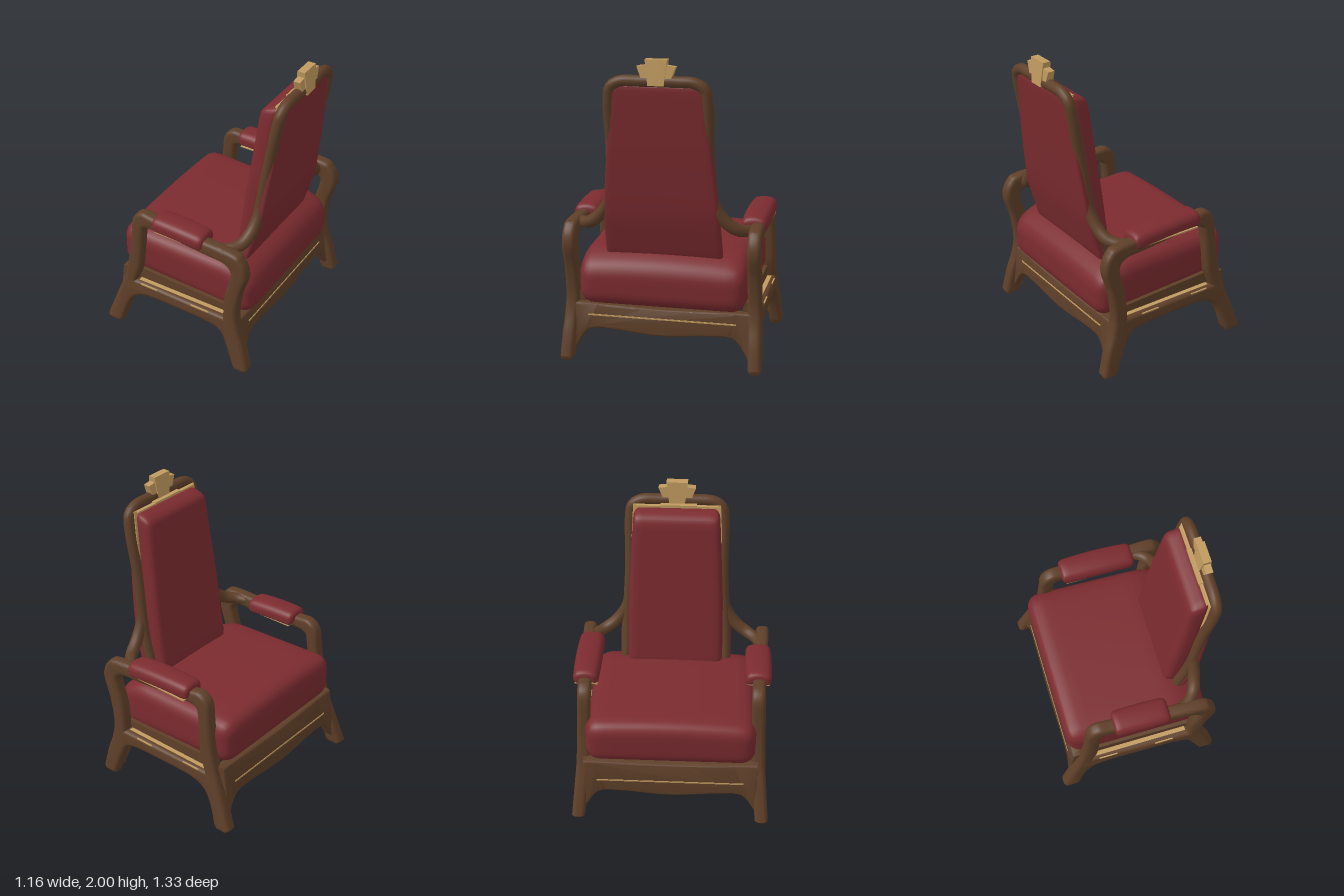
import * as THREE from 'three';
import { mergeVertices, toCreasedNormals } from 'three/addons/utils/BufferGeometryUtils.js';

const material = (name, color) => {
  const m = new THREE.MeshStandardMaterial({ color });
  m.name = name;
  return m;
};
const V = (x, y, z) => new THREE.Vector3(x, y, z);
const pts = (list) => list.map(([x, y]) => new THREE.Vector2(x, y));

// Piecewise-linear lookup through [key, value] pairs
function lookup(table, k) {
  if (k <= table[0][0]) return table[0][1];
  for (let i = 1; i < table.length; i++) {
    const [a, va] = table[i - 1], [b, vb] = table[i];
    if (k <= b) return va + (vb - va) * (k - a) / (b - a);
  }
  return table[table.length - 1][1];
}

// Move every vertex of a geometry by a rule
function warp(geo, rule) {
  const p = geo.attributes.position, v = V(0, 0, 0);
  for (let i = 0; i < p.count; i++) {
    v.fromBufferAttribute(p, i);
    rule(v, i);
    p.setXYZ(i, v.x, v.y, v.z);
  }
  return geo;
}

// Rounded, smooth upholstery block, then bent by a rule
function padded(w, h, d, r, rule) {
  const geo = new THREE.BoxGeometry(w, h, d, 18, 18, 18);
  geo.deleteAttribute('uv');
  geo.deleteAttribute('normal');
  const half = V(w / 2, h / 2, d / 2), inner = V(0, 0, 0);
  const low = V(r - half.x, r - half.y, r - half.z), high = low.clone().negate();
  warp(geo, (v) => {
    for (const a of ['x', 'y', 'z']) v[a] = half[a] * Math.sin(v[a] / half[a] * Math.PI / 2);
    inner.copy(v).clamp(low, high);
    v.sub(inner).normalize().multiplyScalar(r).add(inner);
    rule(v);
  });
  const merged = mergeVertices(geo, 1e-5);
  merged.computeVertexNormals();
  return merged;
}

// Extruded outline, centred on its depth, with rounded edges
function carved(shape, depth, bevel, rule = () => {}) {
  const geo = new THREE.ExtrudeGeometry(shape, {
    depth: depth - 2 * bevel, bevelEnabled: bevel > 0, bevelThickness: bevel, bevelSize: bevel,
    bevelOffset: -bevel, bevelSegments: 4, curveSegments: 40,
  });
  geo.translate(0, 0, bevel - depth / 2);
  return toCreasedNormals(warp(geo, rule), 0.7);
}

export function createModel() {
  const red = material('red upholstery', 0x7b2b2f);
  const wood = material('brown wood', 0x5e3f28);
  const gold = material('gold trim', 0xc09a5f);
  const chair = new THREE.Group();
  chair.name = 'armchair';
  const add = (name, geo, mat, x = 0, y = 0, z = 0) => {
    const mesh = new THREE.Mesh(geo, mat);
    mesh.name = name;
    mesh.position.set(x, y, z);
    chair.add(mesh);
    return mesh;
  };

  // Side frames: legs, rail and arm in one carved loop
  const side = new THREE.Shape();
  side.moveTo(-0.58, 0.03);
  side.lineTo(-0.555, 0);
  side.lineTo(-0.475, 0);
  side.lineTo(-0.455, 0.03);
  side.splineThru(pts([[-0.41, 0.17], [-0.35, 0.26], [-0.24, 0.3], [0, 0.305], [0.22, 0.3],
    [0.32, 0.27], [0.37, 0.17], [0.42, 0.03]]));
  side.lineTo(0.435, 0);
  side.lineTo(0.52, 0);
  side.lineTo(0.535, 0.03);
  side.splineThru(pts([[0.5, 0.18], [0.455, 0.32], [0.44, 0.45], [0.465, 0.62], [0.51, 0.78],
    [0.475, 0.89], [0.38, 0.935], [0, 0.94], [-0.2, 0.955], [-0.3, 0.96], [-0.365, 0.9],
    [-0.385, 0.75], [-0.405, 0.58], [-0.445, 0.4], [-0.51, 0.22], [-0.58, 0.03]]));
  const opening = new THREE.Path();
  opening.moveTo(-0.35, 0.395);
  opening.splineThru(pts([[-0.315, 0.5], [-0.3, 0.62], [-0.285, 0.8], [-0.26, 0.855], [-0.15, 0.862],
    [0.2, 0.843], [0.34, 0.835], [0.39, 0.79], [0.385, 0.72], [0.35, 0.58], [0.335, 0.395]]));
  opening.lineTo(-0.35, 0.395);
  side.holes.push(opening);

  for (const s of [1, -1]) {
    const label = s > 0 ? 'left' : 'right';
    add(label + 'SideFrame', carved(side, 0.088, 0.028, (v) => {
      v.z += s * (0.602 + 0.02 * Math.max(0, 1 - v.y / 0.4) - 0.045 * v.y * (0.5 - v.x));
    }), wood);
    // Inner rail carrying the cushion, sloping down to the back
    add(label + 'SeatRail', warp(new THREE.BoxGeometry(0.8, 0.13, 0.05), (v) => {
      if (v.y > 0) v.y -= 0.04 * v.x;
    }), wood, 0, 0.395, s * 0.548);
    for (const [x, z] of [[-0.24, 0.626], [0.16, 0.633]])
      add(label + 'RailInlay', new THREE.BoxGeometry(0.13, 0.008, 0.009), gold, x, 0.386, s * z);
    add(label + 'RailLedgeTrim', new THREE.BoxGeometry(0.66, 0.005, 0.03), gold, -0.005, 0.394, s * 0.588);

    // Arm pads drooping over the edges, on a gold underlay
    const [len, cx, lift] = s > 0 ? [0.38, 0, 0] : [0.51, 0.027, 0.008];
    add(label + 'ArmPad', padded(len, 0.09, 0.178, 0.035, (v) => {
      v.y -= 2.5 * v.z * v.z + 0.05 * v.x + 0.2 * v.x * v.x;
      v.z *= 1 - 1.2 * v.x * v.x;
    }), red, cx, 0.943 + lift, s * 0.567);
    add(label + 'ArmPadTrim', new THREE.BoxGeometry(len - 0.05, 0.009, 0.15), gold, cx, 0.889, s * 0.567);

    // Curved wing from the arm into the back upright, tapered at both ends
    const wing = new THREE.CatmullRomCurve3([V(0.25, 0.895, s * 0.58), V(0.34, 0.9, s * 0.545),
      V(0.39, 0.915, s * 0.485), V(0.415, 0.97, s * 0.41), V(0.43, 1.08, s * 0.343), V(0.448, 1.24, s * 0.318)]);
    add(label + 'Wing', warp(new THREE.TubeGeometry(wing, 24, 0.047, 14), (v, i) => {
      const t = Math.floor(i / 15) / 24;
      v.lerp(wing.getPointAt(t), 0.45 * t * t + 0.4 * (1 - t) ** 4);
    }), wood);
  }

  // Scalloped front and back rails, leaning with the legs
  const lean = (y) => 0.12 * (0.42 - y);
  const makeRail = (top, out) => {
    const rail = new THREE.Shape();
    rail.moveTo(-0.58, 0.06);
    rail.splineThru(pts([[-0.545, 0.12], [-0.51, 0.175], [-0.45, 0.213], [-0.3, 0.212], [0, 0.19],
      [0.3, 0.212], [0.45, 0.213], [0.51, 0.175], [0.545, 0.12], [0.58, 0.06]]));
    rail.lineTo(0.58, top);
    rail.splineThru(pts([[0.3, top - 0.008], [0, top - 0.015], [-0.3, top - 0.008], [-0.58, top]]));
    return carved(rail, 0.075, 0.014, (v) => { v.z += out * lean(v.y); });
  };
  for (const [name, x, top, out] of [['front', -0.447, 0.45, -1], ['back', 0.4, 0.38, 1]]) {
    add(name + 'Rail', makeRail(top, out), wood, x).rotation.y = Math.PI / 2;
    add(name + 'RailInlay', new THREE.BoxGeometry(0.009, 0.01, 0.98), gold,
      x + out * (lean(0.304) + 0.036), 0.304, 0);
    add(name + 'RailInnerTrim', new THREE.BoxGeometry(0.009, 0.018, 0.9), gold,
      x + out * (lean(0.25) - 0.036), 0.25, 0);
  }

  // Seat cushion, tilted back and dipping at the rear
  add('seatCushion', padded(0.99, 0.32, 1.13, 0.1, (v) => {
    const back = v.x + 0.49, top = v.y > 0;
    v.z *= 1.0 - 0.03 * back;
    v.y += 0.603 - (top ? 0.035 : 0.075) * back;
    if (top) v.y += 0.02 * (1 - (v.z / 0.55) ** 2) - 0.4 * Math.max(0, v.x - 0.3);
  }), red, -0.005);

  // Backrest: front cushion, gold backing and cap, rear panel
  const cushionHalf = [[0.7, 0.325], [1.2, 0.318], [1.84, 0.283]];
  add('backCushion', padded(0.13, 1.14, 0.7, 0.05, (v) => {
    if (v.y > 0) v.y += 0.5 * (v.x - 0.065) * v.y;
    v.y += 1.27;
    v.x += lookup([[0.7, 0.305], [1.84, 0.452]], v.y);
    v.z *= lookup(cushionHalf, v.y) / 0.35;
  }), red);
  add('backTrim', padded(0.009, 1.09, 0.7, 0.004, (v) => {
    v.y += 1.3;
    v.x += lookup([[0.75, 0.365], [1.84, 0.505]], v.y);
    v.z *= (lookup(cushionHalf, v.y) + 0.006) / 0.35;
  }), gold);
  add('backCapTrim', new THREE.BoxGeometry(0.024, 0.008, 0.54), gold, 0.496, 1.84, 0);
  add('crestBase', new THREE.BoxGeometry(0.075, 0.016, 0.24), gold, 0.518, 1.844, 0.01);
  add('rearPanel', padded(0.05, 1.14, 0.7, 0.022, (v) => {
    v.y += 1.265;
    v.x += lookup([[0.7, 0.347], [0.9, 0.407], [1.0, 0.437], [1.4, 0.491], [1.84, 0.535]], v.y);
    v.z *= lookup([[0.7, 0.384], [0.92, 0.38], [1.2, 0.358], [1.84, 0.29]], v.y) / 0.35;
  }), red);

  // Wooden hoop around the back
  const rise = [[0.332, 0.73, 0.345], [0.408, 1, 0.335], [0.468, 1.4, 0.313], [0.528, 1.74, 0.311],
    [0.54, 1.82, 0.295], [0.544, 1.858, 0.235], [0.545, 1.863, 0.12]];
  const hoop = new THREE.CatmullRomCurve3([
    ...rise.map(([x, y, z]) => V(x, y, z)),
    ...rise.slice().reverse().map(([x, y, z]) => V(x, y, -z))]);
  add('backHoop', new THREE.TubeGeometry(hoop, 120, 0.036, 14), wood);

  // Stepped gold crest, thinner towards the top
  const plate = (name, corners, depth) => {
    const geo = carved(new THREE.Shape(pts(corners)), depth, 0, (v) => {
      v.z *= 1 - 0.35 * (v.y - 1.84) / 0.16;
    });
    add(name, geo, gold, 0.546).rotation.y = Math.PI / 2;
  };
  plate('crestCentre', [[-0.05, 1.84], [0.05, 1.84], [0.07, 2], [-0.07, 2]], 0.078);
  plate('crestLeftStep', [[-0.085, 1.86], [-0.04, 1.85], [-0.04, 1.968], [-0.122, 1.957]], 0.06);
  plate('crestRightStep', [[0.04, 1.85], [0.085, 1.86], [0.122, 1.957], [0.04, 1.968]], 0.06);

  return chair;
}
